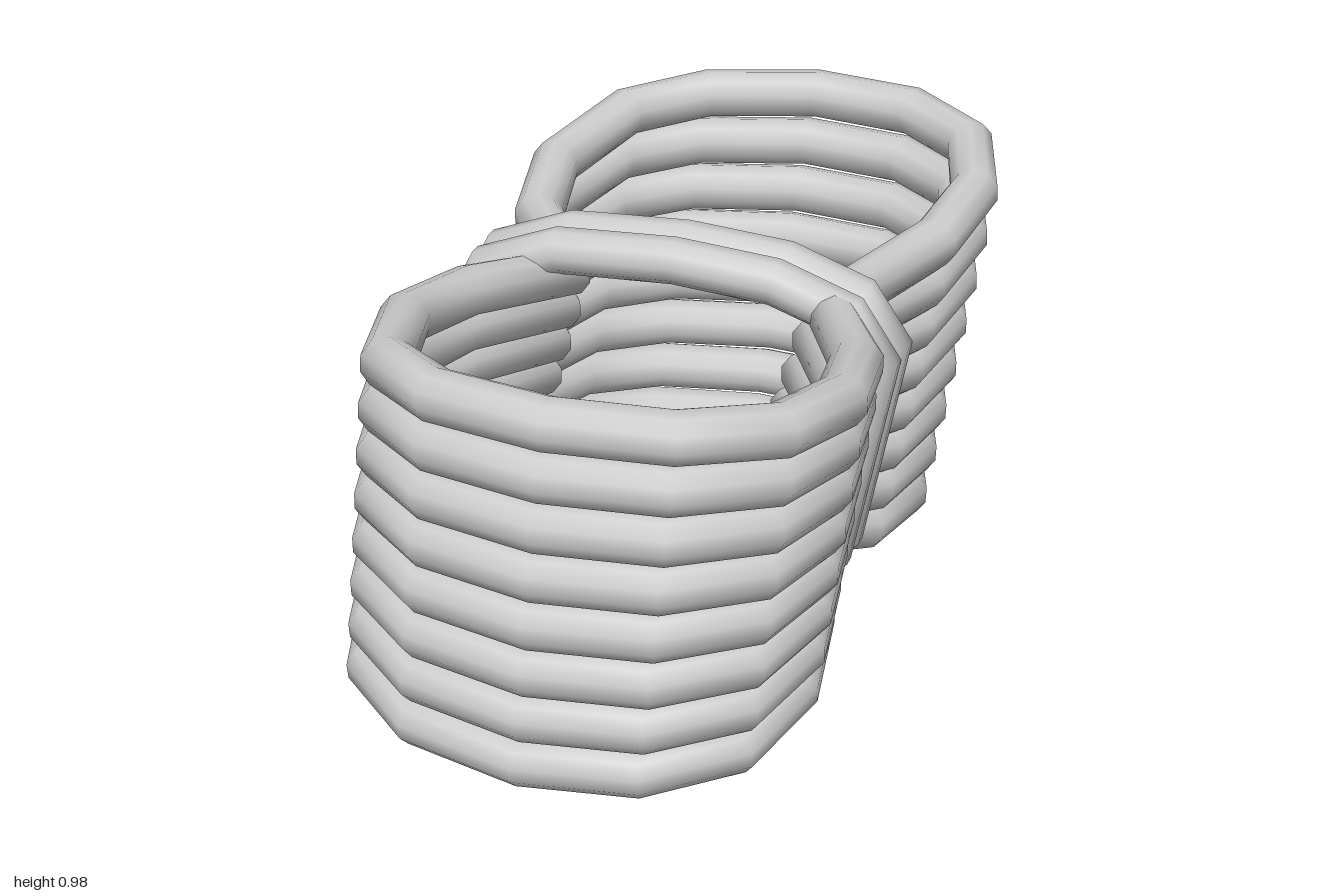
import * as THREE from 'three';

const material = new THREE.MeshStandardMaterial({ color: 0xcccccc });

// Closed path with straight runs between its points
class PolylineLoop extends THREE.Curve {
  constructor(points) {
    super();
    this.points = points;
  }
  getPoint(t, target = new THREE.Vector3()) {
    const n = this.points.length;
    const s = (((t % 1) + 1) % 1) * n;
    const i = Math.floor(s) % n;
    return target.lerpVectors(this.points[i], this.points[(i + 1) % n], s - Math.floor(s));
  }
  getPointAt(t, target) {
    return this.getPoint(t, target);
  }
  getTangentAt(t, target = new THREE.Vector3()) {
    const a = this.getPoint(t - 1e-3), b = this.getPoint(t + 1e-3);
    return target.copy(b).sub(a).normalize();
  }
}

function rope(name, points, radius) {
  const geometry = new THREE.TubeGeometry(new PolylineLoop(points), points.length, radius, 10, true);
  const mesh = new THREE.Mesh(geometry, material);
  mesh.name = name;
  return mesh;
}

// Front lobe of the top loop as [x, z], from the right pinch round to the left pinch
const LOBE = [
  [0.36, 0], [0.515, 0.33], [0.548, 0.57], [0.485, 0.785], [0.31, 0.912], [0.06, 0.943],
  [-0.2, 0.88], [-0.365, 0.742], [-0.447, 0.46], [-0.4, 0.22], [-0.25, 0],
];
// Binding loop around the waist as [x, y]
const WAIST = [
  [0.487, 0.72], [0.42, 0.81], [0.25, 0.87], [0.02, 0.888], [-0.25, 0.875], [-0.42, 0.81],
  [-0.475, 0.7], [-0.54, 0.22], [-0.5, 0.14], [-0.37, 0.08], [-0.17, 0.054], [0.08, 0.07],
  [0.28, 0.12], [0.39, 0.22],
];

export function createModel() {
  const group = new THREE.Group();
  group.name = 'ropeBundle';

  // Stacked double-lobed coils, each leaning and fanning out from the waist
  const coils = new THREE.Group();
  coils.name = 'coils';
  const count = 8;
  for (let i = 0; i < count; i++) {
    const drop = 1 - i / (count - 1);
    const level = 1 - 2 * drop;
    const place = ([x, z], side) => new THREE.Vector3(
      x - (z === 0 ? 0.17 : 0.115) * drop,
      0.495 + level * (0.305 + 0.125 * z / 0.943),
      side * (z === 0 ? 0 : z - 0.1 * drop)
    );
    const front = LOBE.map((p) => place(p, 1));
    const back = LOBE.slice(1, -1).reverse().map((p) => place(p, -1));
    coils.add(rope('coil' + (i + 1), [...front, ...back], 0.058));
  }
  group.add(coils);

  // Two turns of rope binding the waist
  const binding = new THREE.Group();
  binding.name = 'binding';
  for (const z of [-0.049, 0.049]) {
    binding.add(rope('bindingTurn', WAIST.map(([x, y]) => new THREE.Vector3(x, y, z)), 0.053));
  }
  group.add(binding);
  return group;
}
